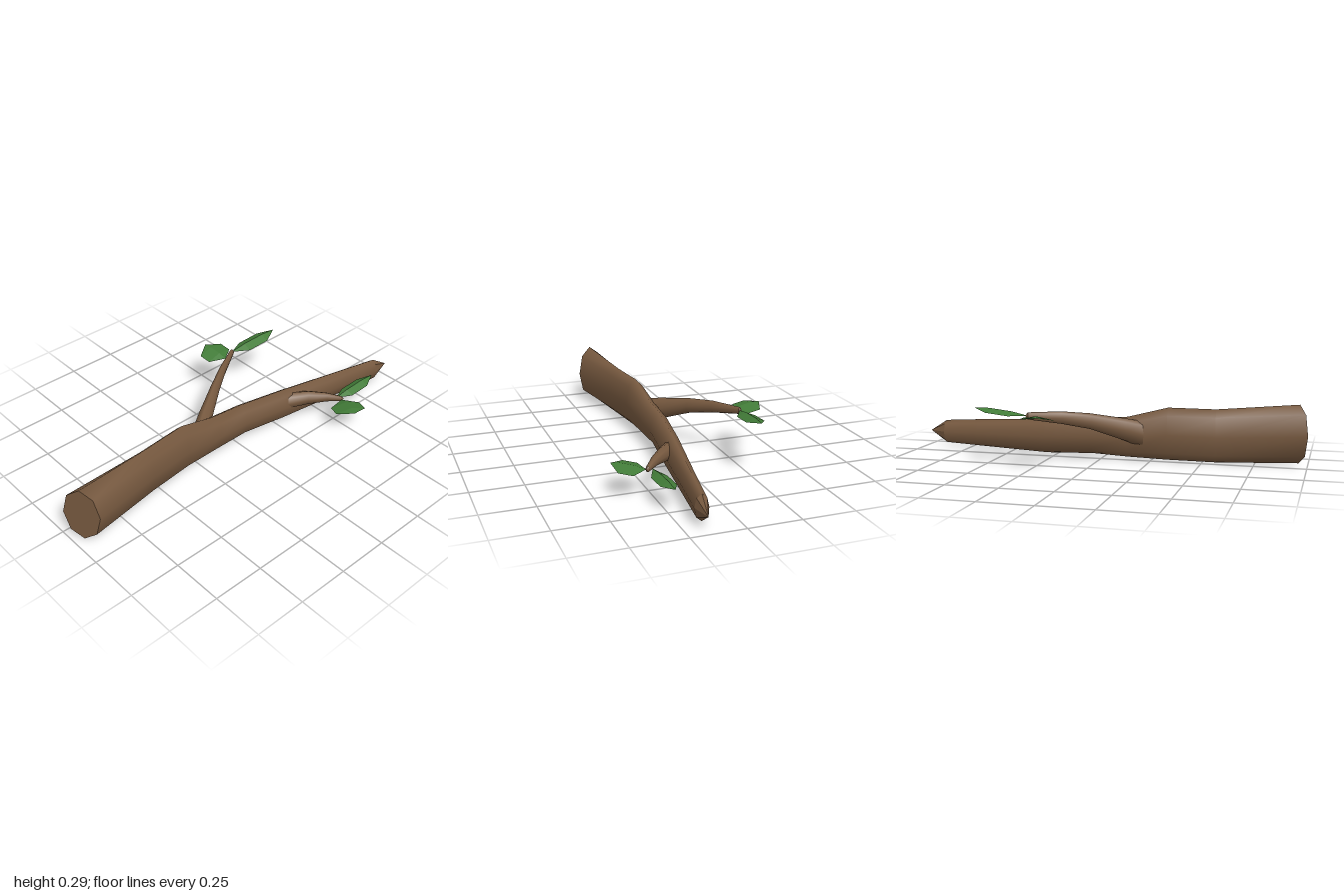
import * as THREE from 'three';

const SIDES = 8;
const bark = new THREE.MeshStandardMaterial({ color: 0x785a40 });
bark.name = 'bark';
const green = new THREE.MeshStandardMaterial({ color: 0x427c38, side: THREE.DoubleSide });
green.name = 'leafGreen';

function geometry(positions, index) {
  const g = new THREE.BufferGeometry();
  g.setAttribute('position', new THREE.Float32BufferAttribute(positions, 3));
  g.setIndex(index);
  return g;
}

function addMesh(parent, geo, material, name) {
  const mesh = new THREE.Mesh(geo, material);
  mesh.name = name;
  parent.add(mesh);
}

// Upright oval: half height ry, sideways half axis (hx, hz)
function ovalPoints([x, y, z, ry, hx, hz]) {
  const pts = [];
  for (let i = 0; i < SIDES; i++) {
    const a = (i / SIDES) * Math.PI * 2;
    pts.push(x + hx * Math.sin(a), y + ry * Math.cos(a), z + hz * Math.sin(a));
  }
  return pts;
}

// Smooth skin through the ovals
function loft(rings) {
  const index = [];
  for (let r = 0; r < rings.length - 1; r++) {
    for (let i = 0; i < SIDES; i++) {
      const j = (i + 1) % SIDES;
      const a = r * SIDES + i, b = r * SIDES + j;
      index.push(a, b, a + SIDES, b, b + SIDES, a + SIDES);
    }
  }
  const g = geometry(rings.flatMap(ovalPoints), index);
  g.computeVertexNormals();
  return g;
}

// Flat-faced fan from an oval to a point, closing an end
function fan(ring, point, start) {
  const index = [];
  for (let i = 0; i < SIDES; i++) {
    const j = (i + 1) % SIDES;
    index.push(SIDES, start ? j : i, start ? i : j);
  }
  const g = geometry([...ovalPoints(ring), ...point], index).toNonIndexed();
  g.computeVertexNormals();
  return g;
}

// Side branch whose ovals stand across its own direction
function branch(points, name) {
  const group = new THREE.Group();
  group.name = name;
  const first = points[0], last = points[points.length - 1];
  const dir = new THREE.Vector2(last[0] - first[0], last[2] - first[2]).normalize();
  const rings = points.map(([x, y, z, ry, rh]) => [x, y, z, ry, -dir.y * rh, dir.x * rh]);
  addMesh(group, loft(rings), bark, name + 'Skin');
  const end = rings[rings.length - 1];
  addMesh(group, fan(end, [end[0] + dir.x * 0.012, end[1], end[2] + dir.y * 0.012], false), bark, name + 'End');
  return group;
}

// Six-sided leaf folded along a raised midrib
function leaf(base, tip, halfWidth, fold) {
  const a = new THREE.Vector3(...base), b = new THREE.Vector3(...tip);
  const side = new THREE.Vector3(-(b.z - a.z), 0, b.x - a.x).normalize();
  const pts = [...base, ...tip];
  for (const t of [0.3, 0.72]) {
    for (const s of [-1, 0, 1]) {
      const p = a.clone().lerp(b, t).addScaledVector(side, s * halfWidth);
      p.y += s === 0 ? fold : -fold;
      pts.push(p.x, p.y, p.z);
    }
  }
  const g = geometry(pts, [0, 3, 2, 0, 4, 3, 2, 3, 6, 2, 6, 5, 3, 4, 7, 3, 7, 6, 5, 6, 1, 6, 7, 1])
    .toNonIndexed();
  // Turn every face upward
  const p = g.attributes.position;
  g.computeVertexNormals();
  if (g.attributes.normal.getY(0) < 0) {
    for (let i = 0; i < p.count; i += 3) {
      const v = new THREE.Vector3().fromBufferAttribute(p, i);
      const w = new THREE.Vector3().fromBufferAttribute(p, i + 1);
      p.setXYZ(i, w.x, w.y, w.z);
      p.setXYZ(i + 1, v.x, v.y, v.z);
    }
    g.computeVertexNormals();
  }
  return g;
}

export function createModel() {
  const model = new THREE.Group();
  model.name = 'fallenBranch';

  // Main limb: x, y, z, half height, sideways half axis
  const limb = [
    [-0.955, 0.148, 0.105, 0.142, 0.045, 0.075],
    [-0.56, 0.13, 0.053, 0.13, 0.008, 0.055],
    [-0.33, 0.134, 0.034, 0.129, 0.003, 0.053],
    [-0.13, 0.111, 0.03, 0.1, 0, 0.051],
    [0.05, 0.107, 0.035, 0.088, -0.004, 0.049],
    [0.3, 0.092, 0.067, 0.087, -0.008, 0.045],
    [0.7, 0.081, 0.13, 0.07, -0.006, 0.034],
    [0.9, 0.075, 0.16, 0.06, -0.005, 0.031],
  ];
  addMesh(model, loft(limb), bark, 'limb');
  addMesh(model, fan(limb[0], limb[0].slice(0, 3), true), bark, 'cutEnd');
  addMesh(model, fan(limb[limb.length - 1], [0.995, 0.075, 0.17], false), bark, 'limbTip');

  // Side branches: x, y, z, half height, half width
  model.add(branch([
    [-0.2, 0.13, 0.01, 0.065, 0.04],
    [-0.13, 0.158, -0.035, 0.055, 0.036],
    [0.02, 0.207, -0.13, 0.038, 0.025],
    [0.14, 0.23, -0.205, 0.03, 0.018],
    [0.28, 0.244, -0.285, 0.017, 0.011],
  ], 'backBranch'));
  model.add(branch([
    [0.33, 0.11, 0.085, 0.045, 0.036],
    [0.41, 0.124, 0.15, 0.038, 0.028],
    [0.48, 0.127, 0.215, 0.025, 0.018],
    [0.535, 0.117, 0.265, 0.014, 0.01],
  ], 'frontTwig'));

  // Leaves in pairs at the branch ends
  addMesh(model, leaf([0.28, 0.245, -0.285], [0.56, 0.272, -0.265], 0.044, 0.009), green, 'backLongLeaf');
  addMesh(model, leaf([0.225, 0.233, -0.275], [0.21, 0.256, -0.417], 0.078, 0.008), green, 'backRoundLeaf');
  addMesh(model, leaf([0.525, 0.112, 0.238], [0.8, 0.123, 0.236], 0.037, 0.009), green, 'frontLongLeaf');
  addMesh(model, leaf([0.53, 0.115, 0.27], [0.465, 0.141, 0.413], 0.078, 0.009), green, 'frontRoundLeaf');

  return model;
}
